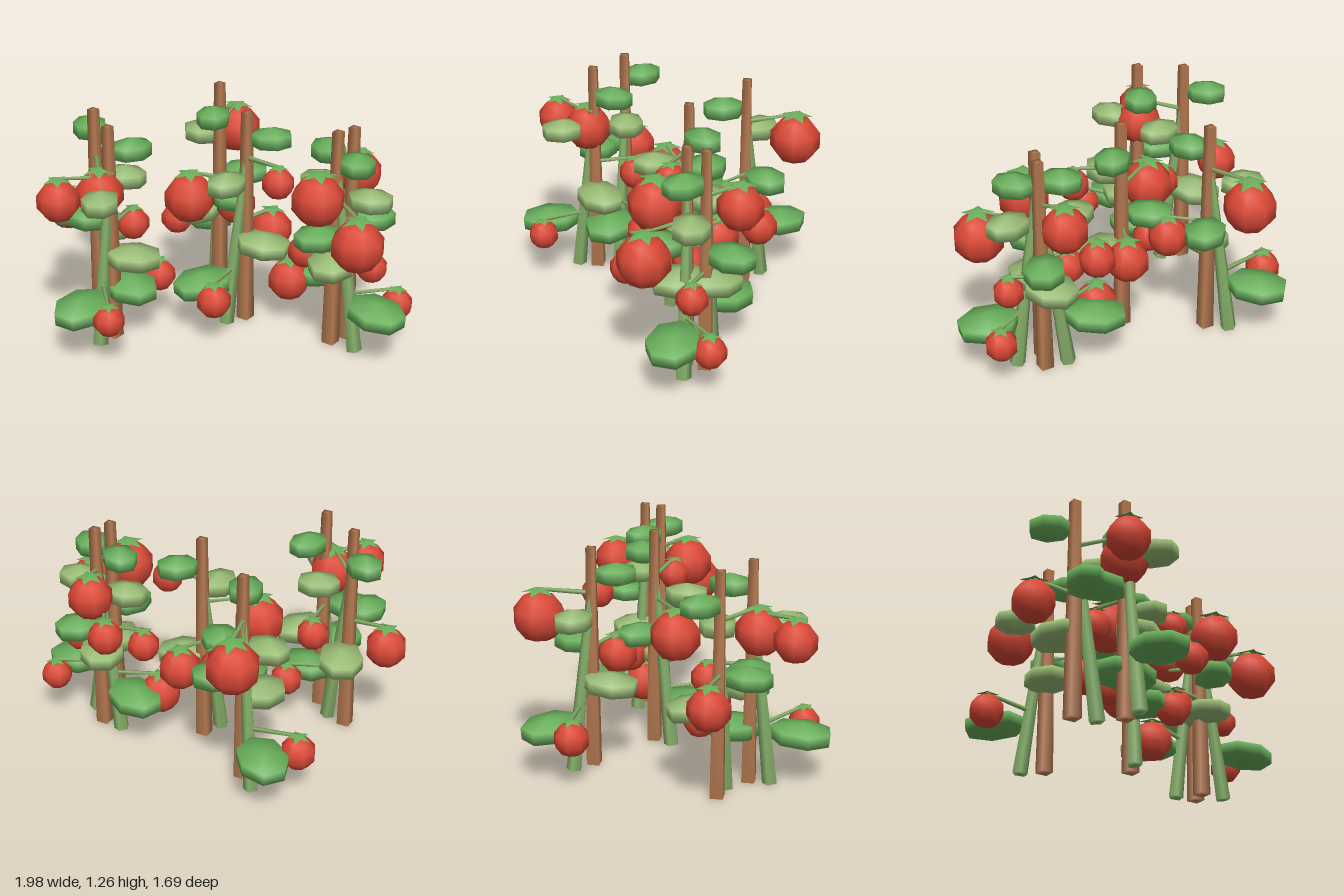
import * as THREE from 'three';
import { mergeVertices } from 'three/addons/utils/BufferGeometryUtils.js';

const mat = (name, color, extra = {}) => {
  const m = new THREE.MeshStandardMaterial({ color, ...extra });
  m.name = name;
  return m;
};

// Weld all corners so the whole surface, caps included, shades smoothly
const smooth = (geo) => {
  geo.deleteAttribute('normal');
  geo.deleteAttribute('uv');
  const welded = mergeVertices(geo, 1e-5);
  welded.computeVertexNormals();
  return welded;
};

export function createModel() {
  const fruitRed = mat('fruit red', 0xda4835);
  const leafGreen = mat('leaf green', 0x6ab05c, { side: THREE.DoubleSide });
  const paleLeaf = mat('pale leaf green', 0x9abd76);
  const stemGreen = mat('stem green', 0x86b069);
  const wood = mat('stake wood', 0xb97c52);

  const add = (parent, name, geo, material) => {
    const mesh = new THREE.Mesh(geo, material);
    mesh.name = name;
    parent.add(mesh);
    return mesh;
  };

  // Tapered rod between two points
  const up = new THREE.Vector3(0, 1, 0);
  const rod = (parent, name, a, b, r0, r1, sides, material) => {
    const dir = b.clone().sub(a);
    const geo = smooth(new THREE.CylinderGeometry(r1, r0, dir.length(), sides));
    const mesh = add(parent, name, geo, material);
    mesh.position.lerpVectors(a, b, 0.5);
    mesh.quaternion.setFromUnitVectors(up, dir.normalize());
  };

  // Five-pointed calyx: raised centre, drooping tips
  const starPos = [];
  const starPoint = (i) => {
    const a = (i / 10) * Math.PI * 2;
    const r = i % 2 ? 0.32 : 0.66;
    return [Math.sin(a) * r, i % 2 ? 0.05 : -0.05, Math.cos(a) * r];
  };
  for (let i = 0; i < 10; i++) starPos.push(0, 0.17, 0, ...starPoint(i), ...starPoint((i + 1) % 10));
  const starGeo = new THREE.BufferGeometry();
  starGeo.setAttribute('position', new THREE.Float32BufferAttribute(starPos, 3));
  const calyxGeo = smooth(starGeo);

  const fruitGeo = smooth(new THREE.SphereGeometry(1, 8, 5));
  // Blunt-ended leaf pad, normalised to unit half length
  const leafGeo = smooth(new THREE.SphereGeometry(1, 7, 3).scale(1.13, 1, 1.13));

  // Leaf levels: height, distance from stem, half length
  const levels = [
    [0.29, 0.19, 0.172], [0.5, 0.16, 0.155], [0.69, 0.16, 0.135], [0.89, 0.17, 0.122], [1.09, 0.135, 0.115],
  ];

  // stake [x, z], stem base [x, z], angle of top leaf, fruits [x, y, z, radius]
  const plants = [
    { stake: [-0.667, -0.09], base: [-0.6, 0.02], angle: -97,
      fruits: [[-0.66, 0.87, 0.175, 0.135], [-0.82, 0.59, -0.265, 0.12], [-0.34, 0.29, 0.03, 0.095]] },
    { stake: [-0.606, 0.167], base: [-0.69, 0.25], angle: -22,
      fruits: [[-0.88, 0.87, 0.235, 0.12], [-0.475, 0.595, -0.02, 0.095], [-0.65, 0.285, 0.51, 0.087]] },
    { stake: [0.059, -0.405], base: [0.05, -0.54], angle: 113,
      fruits: [[0.19, 0.875, -0.655, 0.147], [0.125, 0.59, -0.2, 0.115], [-0.165, 0.295, -0.68, 0.1]] },
    { stake: [0.145, 0.058], base: [0.03, 0.1], angle: 4,
      fruits: [[0.28, 0.925, 0.285, 0.09], [-0.16, 0.735, -0.01, 0.145], [0.3, 0.51, -0.02, 0.122],
        [-0.07, 0.265, 0.33, 0.098]] },
    { stake: [0.571, 0.393], base: [0.68, 0.5], angle: -98,
      fruits: [[0.45, 0.917, 0.505, 0.145], [0.625, 0.737, 0.7, 0.145], [0.435, 0.51, 0.275, 0.095],
        [0.905, 0.272, 0.498, 0.09]] },
    { stake: [0.667, 0.345], base: [0.59, 0.24], angle: 94,
      fruits: [[0.74, 0.92, 0.185, 0.127], [0.7, 0.75, 0.03, 0.1], [0.755, 0.505, 0.5, 0.087],
        [0.377, 0.267, 0.14, 0.12]] },
  ];

  const model = new THREE.Group();
  model.name = 'stakedPlants';

  plants.forEach(({ stake, base, angle, fruits }) => {
    const plant = new THREE.Group();
    plant.name = 'plant';
    model.add(plant);

    // Wooden stake and leaning stem
    rod(plant, 'stake', new THREE.Vector3(stake[0], 0, stake[1]), new THREE.Vector3(stake[0], 1.25, stake[1]),
      0.05, 0.033, 4, wood);
    const foot = new THREE.Vector3(base[0], 0, base[1]);
    const tip = new THREE.Vector3(stake[0], 1.04, stake[1]);
    rod(plant, 'stem', foot, tip, 0.044, 0.02, 5, stemGreen);
    const stemAt = (y) => foot.clone().lerp(tip, Math.min(y / 1.04, 1)).setY(y);

    // Leaves spiralling up the stem
    levels.forEach(([y, dist, half], i) => {
      const a = THREE.MathUtils.degToRad(angle + (4 - i) * 128);
      const leaf = add(plant, 'leaf', leafGeo, i % 2 ? paleLeaf : leafGreen);
      leaf.position.copy(stemAt(y)).add(new THREE.Vector3(Math.cos(a) * dist, 0, Math.sin(a) * dist));
      leaf.rotation.set(0, -a, i < 2 ? -0.08 : 0);
      leaf.scale.set(half, 0.067, half * 0.82);
    });

    // Fruits with calyx and stalk
    fruits.forEach(([x, y, z, r]) => {
      const fruit = add(plant, 'fruit', fruitGeo, fruitRed);
      fruit.position.set(x, y, z);
      fruit.scale.set(r, r * 0.95, r);
      const calyx = add(plant, 'calyx', calyxGeo, leafGreen);
      calyx.position.set(x, y + r * 0.96, z);
      calyx.scale.setScalar(r);
      const top = new THREE.Vector3(x, y + r * 1.05, z);
      rod(plant, 'stalk', stemAt(Math.min(top.y - 0.03, 1)), top, 0.014, 0.01, 4, stemGreen);
    });
  });

  return model;
}
